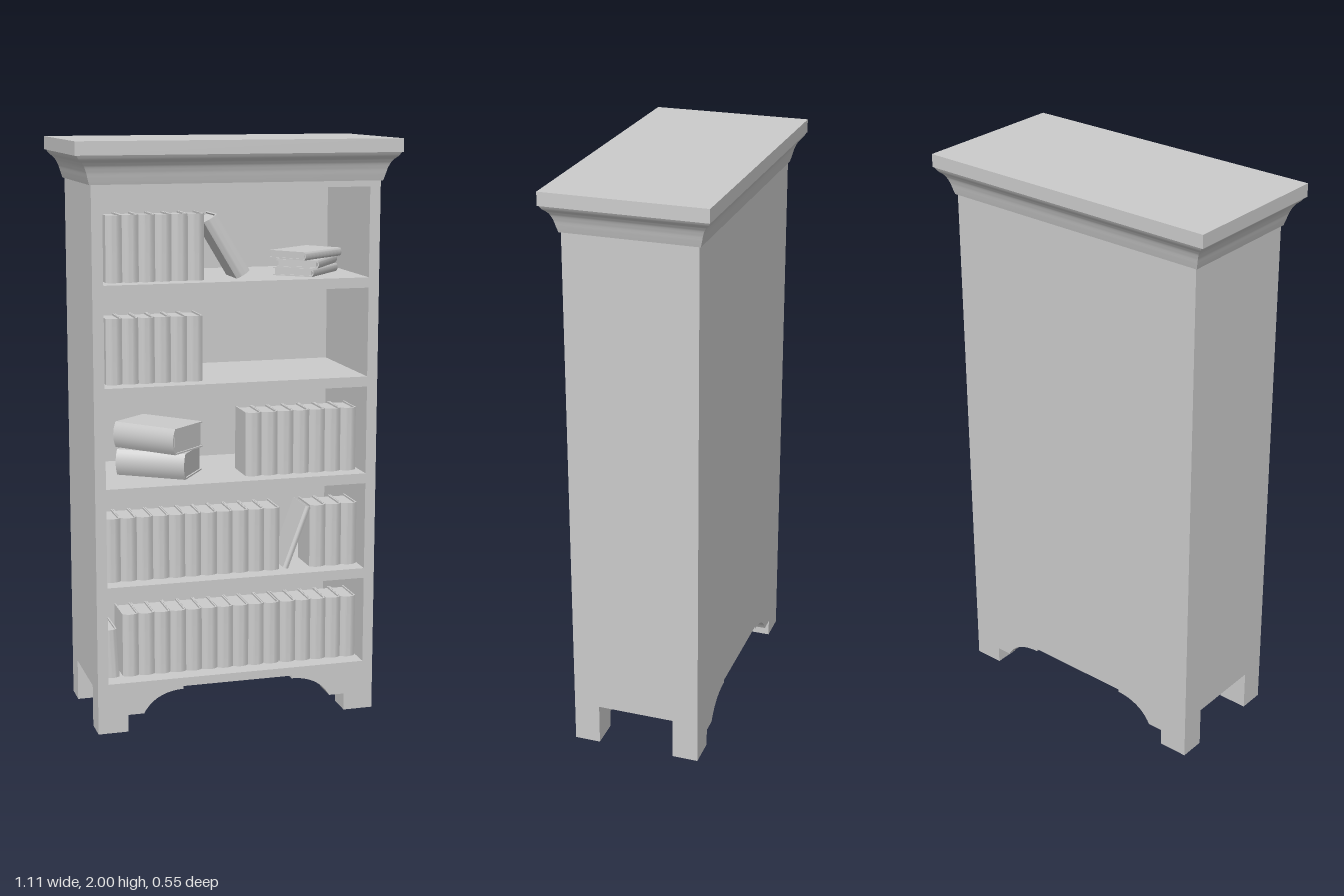
import * as THREE from 'three';
import { mergeGeometries, toCreasedNormals } from 'three/addons/utils/BufferGeometryUtils.js';

const material = new THREE.MeshStandardMaterial({ color: 0xcccccc });

function addMesh(parent, name, geometry, x = 0, y = 0, z = 0) {
  const mesh = new THREE.Mesh(geometry, material);
  mesh.name = name;
  mesh.position.set(x, y, z);
  parent.add(mesh);
  return mesh;
}

const polygon = (points) => new THREE.Shape(points.map(([x, y]) => new THREE.Vector2(x, y)));

// Book centred on its origin: width along x, height along y, rounded spine towards +z
function bookGeometry(w, h, d) {
  const a = w / 2, b = Math.min(w * 0.22, 0.014), t = Math.min(0.005, w * 0.15);
  const s = new THREE.Shape();
  s.moveTo(-a, d / 2);
  s.lineTo(-a, -d / 2 + b);
  s.quadraticCurveTo(0, -d / 2 - b, a, -d / 2 + b);
  s.lineTo(a, d / 2);
  s.lineTo(a - t, d / 2);
  s.lineTo(a - t, -d / 2 + b + t);
  s.quadraticCurveTo(0, -d / 2 - b + t, -a + t, -d / 2 + b + t);
  s.lineTo(-a + t, d / 2);
  s.closePath();
  let cover = new THREE.ExtrudeGeometry(s, { depth: h, bevelEnabled: false, curveSegments: 8 });
  cover.translate(0, 0, -h / 2).rotateX(-Math.PI / 2);
  cover = toCreasedNormals(cover, 0.6);
  const pages = new THREE.BoxGeometry(w - 2 * t, h - 0.012, d - b - 0.008).toNonIndexed();
  pages.translate(0, 0, -b / 2);
  return mergeGeometries([cover, pages]);
}

const WIDTH = 0.495, DEPTH = 0.225;         // half sizes of the case
const SHELVES = [0.175, 0.515, 0.855, 1.195, 1.535];
const OPENING = 0.305, INNER = 0.458;
const BOOK_DEPTH = 0.14, BOOK_Z = 0.095;

function addCase(model) {
  // Frame with five shelf openings, closed by a thin back
  const shape = polygon([[-WIDTH, 0.145], [WIDTH, 0.145], [WIDTH, 1.9], [-WIDTH, 1.9]]);
  for (const y of SHELVES) {
    shape.holes.push(polygon([[-INNER, y], [-INNER, y + OPENING], [INNER, y + OPENING], [INNER, y]]));
  }
  const back = 0.02;
  addMesh(model, 'caseAndShelves',
    new THREE.ExtrudeGeometry(shape, { depth: 2 * DEPTH - back, bevelEnabled: false }), 0, 0, -DEPTH + back);
  addMesh(model, 'backPanel', new THREE.BoxGeometry(2 * WIDTH, 1.755, back), 0, 1.0225, -DEPTH + back / 2);
}

function addFeet(model) {
  // Four feet with curved brackets
  const depth = 0.09;
  for (const side of [-1, 1]) {
    const s = new THREE.Shape();
    s.moveTo(side * WIDTH, 0);
    s.lineTo(side * WIDTH, 0.145);
    s.lineTo(side * 0.195, 0.145);
    s.lineTo(side * 0.195, 0.135);
    s.bezierCurveTo(side * 0.25, 0.135, side * 0.305, 0.115, side * 0.335, 0.06);
    s.lineTo(side * 0.39, 0.06);
    s.lineTo(side * 0.39, 0);
    s.closePath();
    const geometry = toCreasedNormals(
      new THREE.ExtrudeGeometry(s, { depth, bevelEnabled: false, curveSegments: 12 }), 0.5);
    for (const z of [-DEPTH, DEPTH - depth]) {
      addMesh(model, (z > 0 ? 'front' : 'back') + (side > 0 ? 'Left' : 'Right') + 'Foot', geometry, 0, 0, z);
    }
  }
}

function addCornice(model) {
  // Mitred moulding: rectangular rings, each given as [outward offset, height]
  const curve = new THREE.SplineCurve([
    [0.006, 1.86], [0.012, 1.88], [0.018, 1.902], [0.027, 1.922], [0.035, 1.932], [0.046, 1.942], [0.055, 1.957],
  ].map(([o, y]) => new THREE.Vector2(o, y)));
  const rings = [new THREE.Vector2(0, 1.86), ...curve.getPoints(18)];
  const positions = [], index = [];
  for (const { x: o, y } of rings) {
    const hx = WIDTH + o, hz = DEPTH + o * 0.93;
    positions.push(-hx, y, hz, hx, y, hz, hx, y, -hz, -hx, y, -hz);
  }
  for (let r = 0; r < rings.length - 1; r++) {
    for (let i = 0; i < 4; i++) {
      const a = r * 4 + i, b = r * 4 + (i + 1) % 4;
      index.push(a, b, b + 4, a, b + 4, a + 4);
    }
  }
  const geometry = new THREE.BufferGeometry();
  geometry.setAttribute('position', new THREE.Float32BufferAttribute(positions, 3));
  geometry.setIndex(index);
  addMesh(model, 'corniceMoulding', toCreasedNormals(geometry, 0.6));
  addMesh(model, 'topBoard', new THREE.BoxGeometry(1.11, 0.045, 0.553), 0, 1.9775, 0);
}

function addBooks(model) {
  const books = new THREE.Group();
  books.name = 'books';
  model.add(books);

  // Upright rows: shelf, start x, end x, number of books
  const rows = [
    [4, -0.435, -0.1, 6], [3, -0.438, -0.105, 6], [2, 0.046, 0.446, 7],
    [1, -0.452, 0.17, 11], [1, 0.28, 0.454, 3],
    [0, -0.392, 0.17, 10], [0, 0.174, 0.454, 5],
  ];
  for (const [shelf, from, to, count] of rows) {
    const pitch = (to - from) / count;
    const geometry = bookGeometry(pitch - 0.001, 0.222, BOOK_DEPTH);
    for (let i = 0; i < count; i++) {
      addMesh(books, 'uprightBook', geometry, from + (i + 0.5) * pitch, SHELVES[shelf] + 0.111, BOOK_Z);
    }
  }

  // Leaning books: centre x, centre y, width, height, tilt
  const leaning = [
    [-0.021, 1.645, 0.053, 0.222, 0.54], [0.231, 0.626, 0.02, 0.23, -0.36], [-0.43, 0.262, 0.043, 0.172, 0.05],
  ];
  for (const [x, y, w, h, tilt] of leaning) {
    addMesh(books, 'leaningBook', bookGeometry(w, h, BOOK_DEPTH), x, y, BOOK_Z).rotation.z = tilt;
  }

  // Stacked books lying flat: centre x, base y, centre z, thickness, length, depth, turn
  const lying = [
    [-0.227, 0.855, 0.02, 0.09, 0.25, 0.18, -0.6], [-0.23, 0.945, 0.02, 0.09, 0.25, 0.18, -0.85],
    [0.295, 1.535, 0.04, 0.028, 0.22, 0.15, 0.85], [0.3, 1.563, 0.04, 0.028, 0.22, 0.15, 0.95],
    [0.295, 1.591, 0.04, 0.028, 0.22, 0.15, 0.65],
  ];
  for (const [x, y, z, w, h, d, turn] of lying) {
    addMesh(books, 'lyingBook', bookGeometry(w, h, d), x, y + w / 2, z).rotation.set(0, turn, Math.PI / 2);
  }
}

export function createModel() {
  const model = new THREE.Group();
  model.name = 'bookcase';
  addCase(model);
  addFeet(model);
  addCornice(model);
  addBooks(model);
  return model;
}
